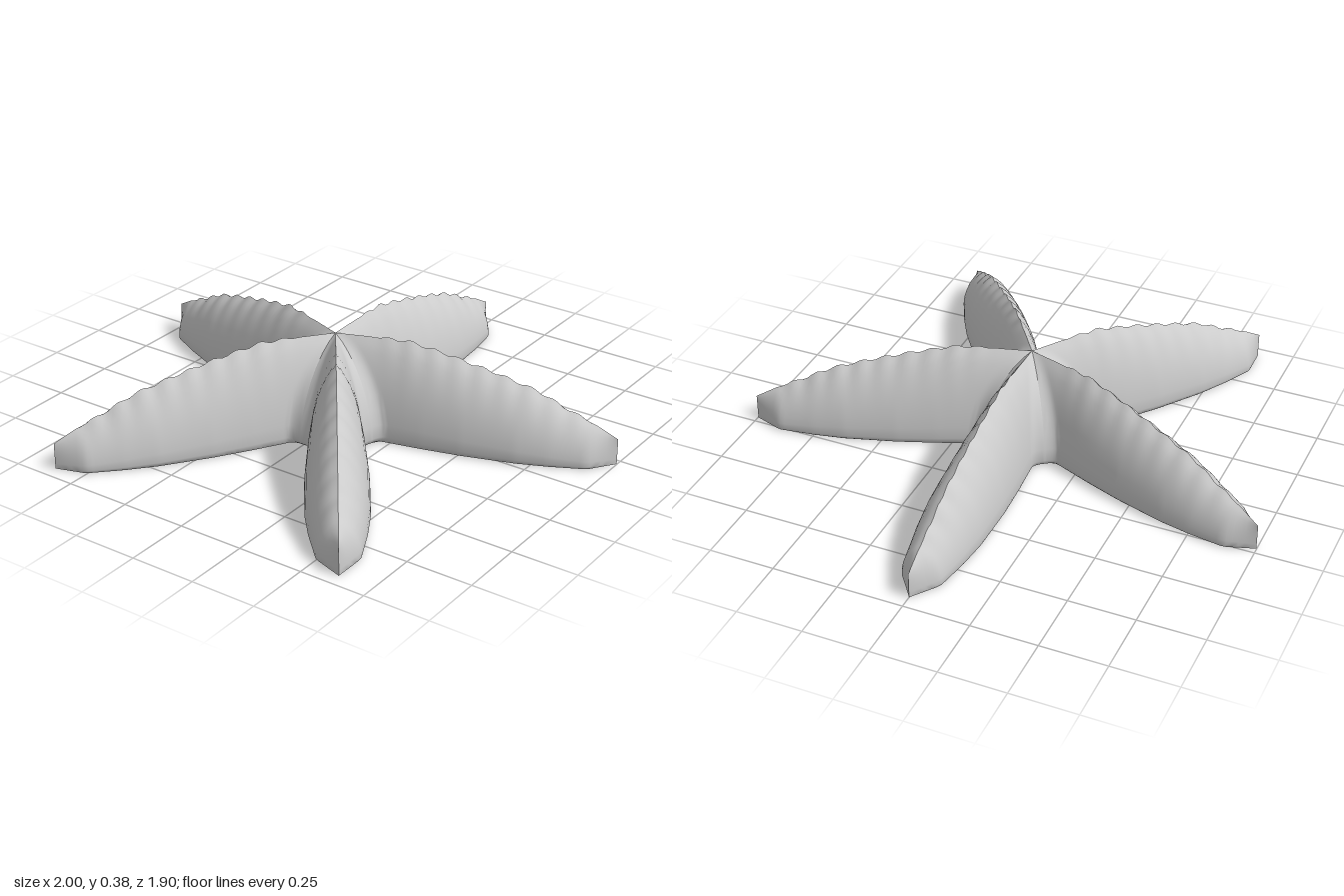
import * as THREE from 'three';
import { mergeVertices, toCreasedNormals } from 'three/addons/utils/BufferGeometryUtils.js';

const LENGTH = 1.05;          // centre to arm tip
const ROOT = 0.178;           // where neighbouring arms meet at the ground
const TAN36 = Math.tan(Math.PI / 5);

// distance along the arm -> ridge height, half width
const HEIGHT = [[0, 0.372], [0.2, 0.377], [0.28, 0.376], [0.42, 0.345], [0.6, 0.297],
  [0.75, 0.25], [0.88, 0.185], [0.96, 0.15], [LENGTH, 0.1]];
const WIDTH = [[0, 0.09], [0.2, 0.094], [0.35, 0.107], [0.5, 0.115], [0.7, 0.113],
  [0.82, 0.1], [0.955, 0.076], [LENGTH, 0]];
// cross-section: height fraction, width fraction, from underside axis to ridge
const SECTION = [[0, 0], [0, 0.91], [0.025, 0.97], [0.07, 1], [0.2, 0.98], [0.35, 0.92],
  [0.5, 0.82], [0.63, 0.7], [0.75, 0.55], [0.86, 0.37], [0.94, 0.19], [1, 0]];

function lerpTable(table, s) {
  let i = 1;
  while (i < table.length - 1 && s > table[i][0]) i++;
  const [a, va] = table[i - 1], [b, vb] = table[i];
  return THREE.MathUtils.lerp(va, vb, THREE.MathUtils.clamp((s - a) / (b - a), 0, 1));
}

// Point on the arm: u runs from the valley to the tip, v and p come from SECTION
function armPoint(u, v, p, side) {
  const start = ROOT * p;
  const s = THREE.MathUtils.lerp(start, LENGTH, u);
  // small web that meets the neighbouring arm exactly on the bisector
  const rootWidth = ROOT * TAN36 - lerpTable(WIDTH, start);
  const web = rootWidth * Math.max(0, 1 - (s - start) / 0.045) ** 2;
  const t = p * (lerpTable(WIDTH, s) + web);
  // knobbly ridge
  const fade = THREE.MathUtils.smoothstep(s, 0.1, 0.25) * (1 - THREE.MathUtils.smoothstep(s, 0.9, 1));
  const bump = 0.006 * fade * Math.sin(s * Math.PI * 2 / 0.088) * v ** 4;
  return [s, v * lerpTable(HEIGHT, s) + bump, side * t];
}

function armGeometry() {
  const columns = 64, rows = SECTION.length;
  const positions = [], index = [];
  for (const side of [1, -1]) {
    const base = positions.length / 3;
    for (const [v, p] of SECTION) {
      for (let i = 0; i <= columns; i++) {
        positions.push(...armPoint((i / columns) ** 1.25, v, p, side));
      }
    }
    for (let j = 0; j < rows - 1; j++) {
      for (let i = 0; i < columns; i++) {
        const a = base + j * (columns + 1) + i, b = a + 1;
        const d = a + columns + 1, c = d + 1;
        if (side > 0) index.push(a, b, c, a, c, d);
        else index.push(a, c, b, a, d, c);
      }
    }
  }
  const geometry = new THREE.BufferGeometry();
  geometry.setAttribute('position', new THREE.Float32BufferAttribute(positions, 3));
  geometry.setIndex(index);
  return toCreasedNormals(mergeVertices(geometry), 0.7);
}

export function createModel() {
  const starfish = new THREE.Group();
  starfish.name = 'starfish';
  const material = new THREE.MeshStandardMaterial({ color: 0xcccccc });
  const geometry = armGeometry();
  const names = ['backArm', 'rightArm', 'frontRightArm', 'frontLeftArm', 'leftArm'];
  // five equal arms, the first pointing to the back
  names.forEach((name, k) => {
    const arm = new THREE.Mesh(geometry, material);
    arm.name = name;
    arm.rotation.y = Math.PI / 2 + k * Math.PI * 2 / 5;
    arm.position.z = 0.1;
    starfish.add(arm);
  });
  return starfish;
}
